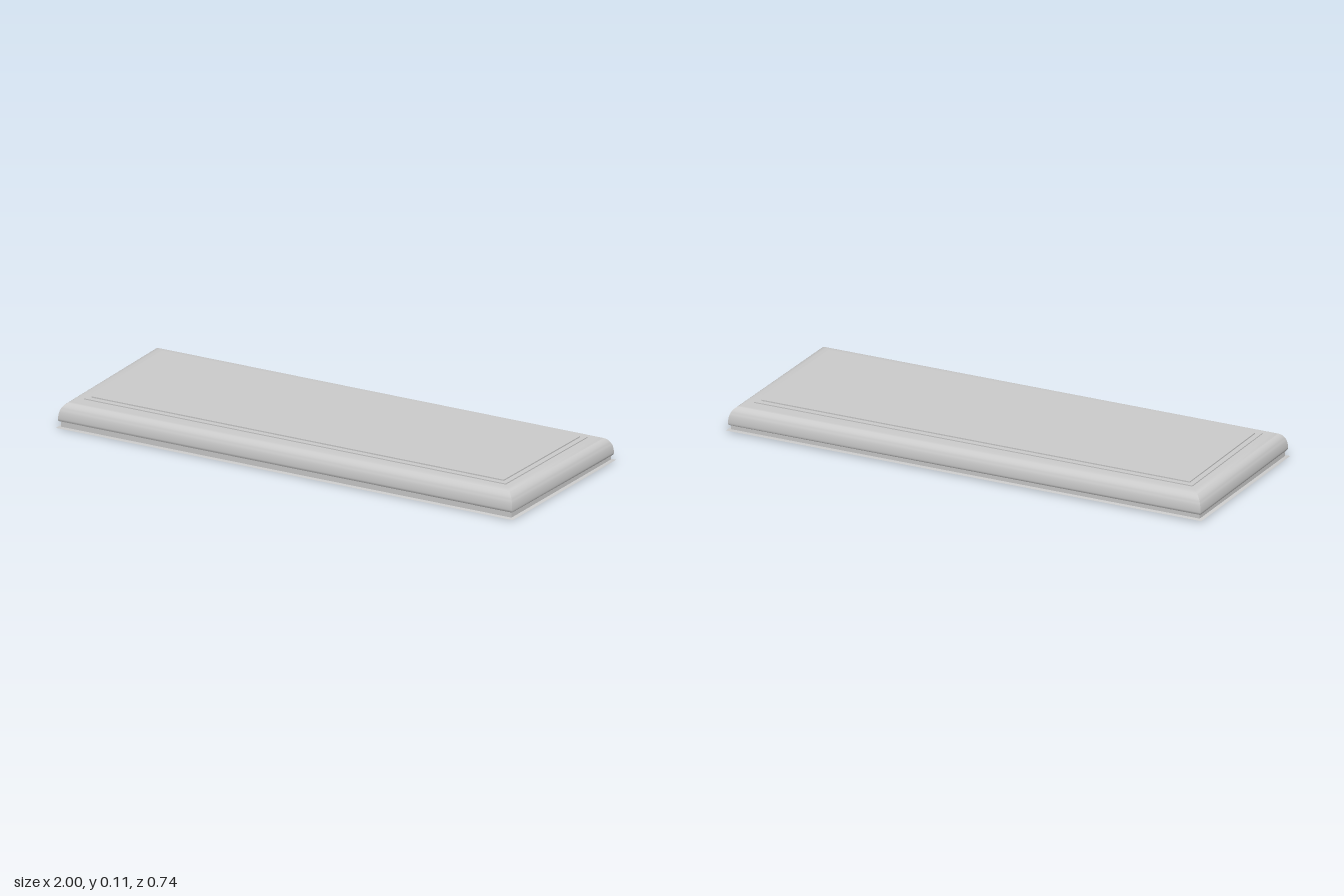
import * as THREE from 'three';
import { toCreasedNormals } from 'three/addons/utils/BufferGeometryUtils.js';

const CORNERS = [[1, 1], [1, -1], [-1, -1], [-1, 1]];
const EXTRA_LENGTH = 0.63; // half-length minus half-depth, constant for every ring

// Mitred rectangular shell swept from a [halfDepth, height] profile, bottom to top
function mitredShell(profile, capped) {
  const positions = [], index = [];
  for (const [d, y] of profile) {
    for (const [sx, sz] of CORNERS) {
      const z = sz * d;
      // the right end is cut at a slight angle
      const x = sx * (d + EXTRA_LENGTH) - (sx > 0 ? 0.0125 + 0.03 * z : 0);
      // the lowest edge tilts a little from front to back
      const tilt = y < 0.01 ? -0.007 * z : 0;
      positions.push(x, y + tilt, z);
    }
  }
  for (let i = 0; i < profile.length - 1; i++) {
    for (let c = 0; c < 4; c++) {
      const a = i * 4 + c, b = i * 4 + (c + 1) % 4;
      index.push(a, b, b + 4, a, b + 4, a + 4);
    }
  }
  if (capped) {
    const t = (profile.length - 1) * 4;
    index.push(t, t + 1, t + 2, t, t + 2, t + 3);
  }
  const geometry = new THREE.BufferGeometry();
  geometry.setAttribute('position', new THREE.Float32BufferAttribute(positions, 3));
  geometry.setIndex(index);
  return toCreasedNormals(geometry, 0.6);
}

export function createModel() {
  const group = new THREE.Group();
  group.name = 'slab';
  const material = new THREE.MeshStandardMaterial({ color: 0xcccccc, side: THREE.DoubleSide });

  function add(name, profile, capped = false) {
    const mesh = new THREE.Mesh(mitredShell(profile, capped), material);
    mesh.name = name;
    group.add(mesh);
  }

  // Thin lip around the open underside
  add('baseLip', [[0.37, 0.003], [0.356, 0.006]]);

  // Recessed skirt below the moulding
  add('skirt', [[0.356, 0.006], [0.356, 0.024]]);

  // Rounded moulding
  const curve = new THREE.CubicBezierCurve(
    new THREE.Vector2(0.364, 0.036), new THREE.Vector2(0.364, 0.075),
    new THREE.Vector2(0.348, 0.101), new THREE.Vector2(0.315, 0.103));
  add('moulding', [
    [0.356, 0.024], [0.361, 0.026], [0.3635, 0.03],
    ...curve.getPoints(12).map(p => [p.x, p.y]),
    [0.293, 0.104],
  ]);

  // Two shallow steps up to the flat top panel
  add('topPanel', [
    [0.293, 0.104], [0.293, 0.108], [0.272, 0.108], [0.272, 0.113],
  ], true);

  return group;
}
